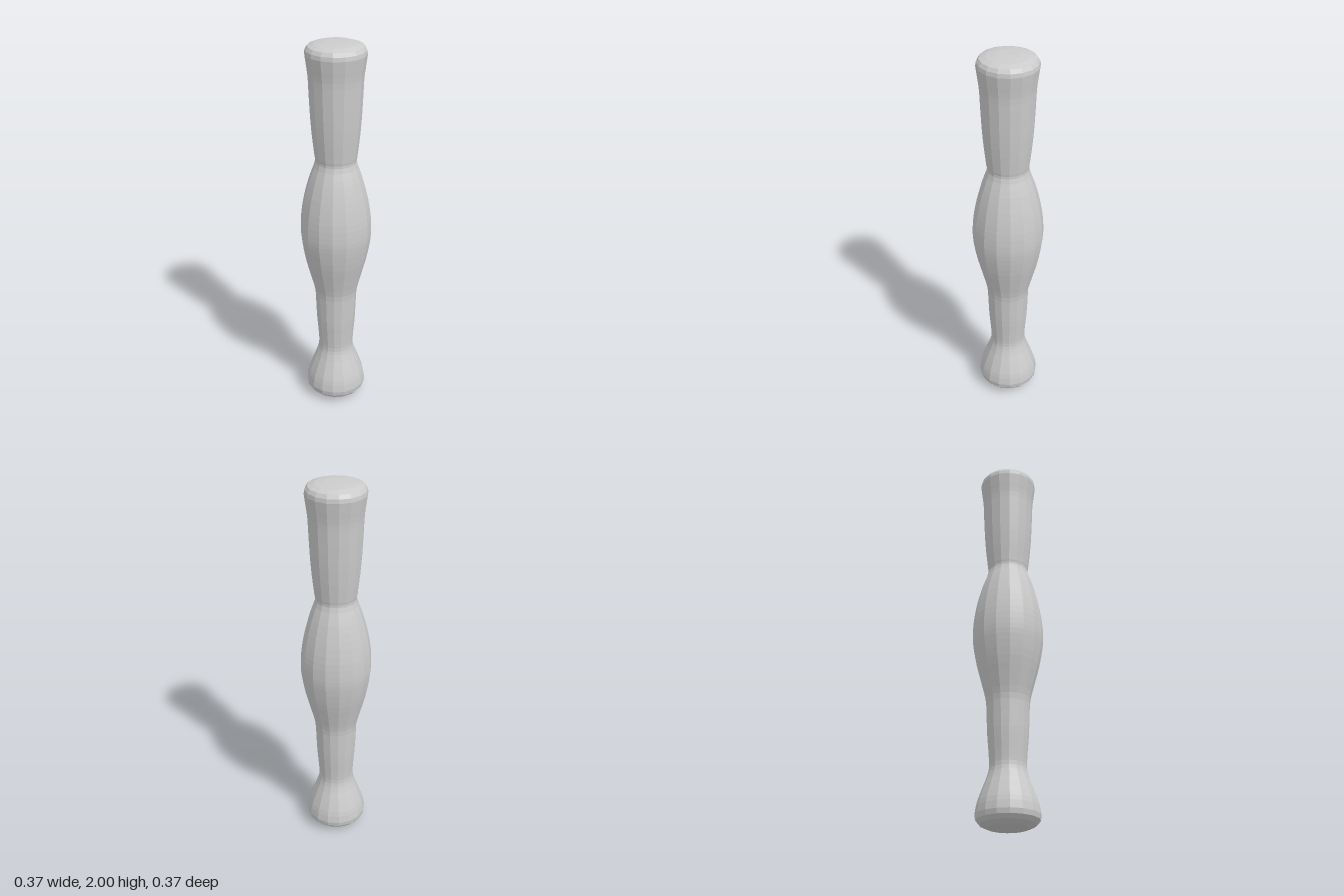
import * as THREE from 'three';

const SIDES = 16;

// Radius and height pairs from the base up; the shaft is one turned piece.
const base = [[0, 0], [0.06, 0.004], [0.105, 0.014], [0.14, 0.03], [0.157, 0.05]];
const shaft = [
  [0.161, 0.075], [0.152, 0.13], [0.128, 0.2], [0.105, 0.26], [0.093, 0.31],
  [0.096, 0.38], [0.104, 0.48], [0.108, 0.58], [0.113, 0.66], [0.135, 0.75],
  [0.161, 0.85], [0.179, 0.95], [0.184, 1.02], [0.179, 1.11], [0.162, 1.21],
  [0.135, 1.31], [0.107, 1.39], [0.109, 1.43], [0.119, 1.52], [0.127, 1.62],
  [0.133, 1.74], [0.137, 1.83], [0.146, 1.9], [0.152, 1.945],
];
const crown = [[0.149, 1.965], [0.137, 1.983], [0.105, 1.994], [0.06, 1.999], [0, 2]];

const toPoints = (pairs) => pairs.map(([r, y]) => new THREE.Vector2(r, y));

function turned(name, points, material) {
  const mesh = new THREE.Mesh(new THREE.LatheGeometry(points, SIDES), material);
  mesh.name = name;
  return mesh;
}

export function createModel() {
  const group = new THREE.Group();
  group.name = 'turnedHandle';
  const material = new THREE.MeshStandardMaterial({ color: 0xcccccc, flatShading: true });

  // Rounded foot, swelling shaft with two waists, and a soft crown
  const curve = new THREE.SplineCurve(toPoints(shaft));
  group.add(turned('foot', toPoints([...base, shaft[0]]), material));
  group.add(turned('shaft', curve.getPoints(60), material));
  group.add(turned('crown', toPoints([shaft[shaft.length - 1], ...crown]), material));
  return group;
}
